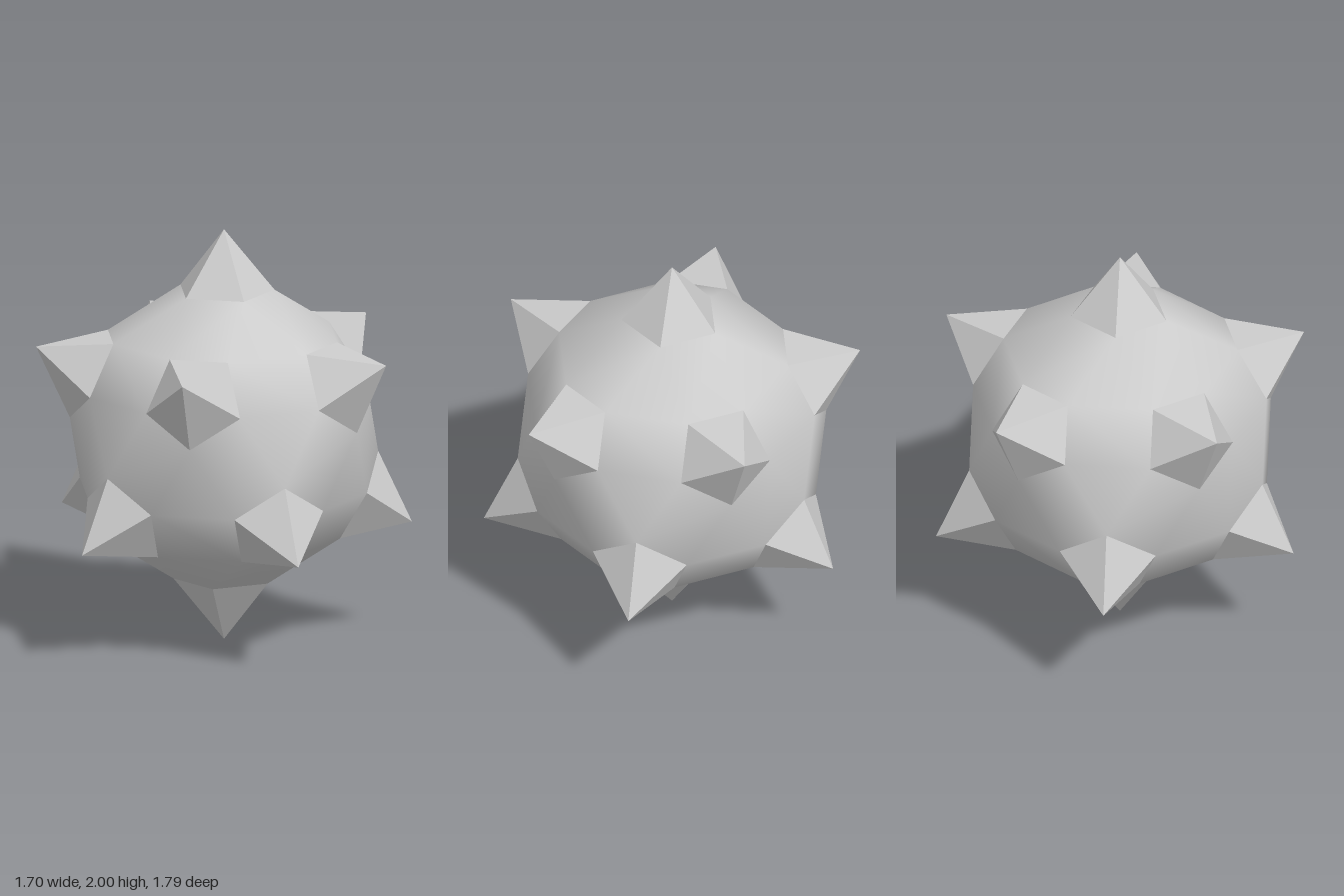
import * as THREE from 'three';

const BASE_DIST = 0.7;   // centre to spike base
const BASE_RADIUS = 0.24;
const TIP_DIST = 1;

// Twelve icosahedron directions: top, bottom, upper ring (2-6), lower ring (7-11)
function icosahedronAxes() {
  const ring = (y, offset) => Array.from({ length: 5 }, (_, k) => {
    const t = (k + offset) * Math.PI * 2 / 5;
    return new THREE.Vector3(Math.sin(t) * 2, y, Math.cos(t) * 2).normalize();
  });
  return [new THREE.Vector3(0, 1, 0), new THREE.Vector3(0, -1, 0), ...ring(1, 0), ...ring(-1, 0.5)];
}

function icosahedronFaces() {
  const faces = [];
  for (let k = 0; k < 5; k++) {
    const n = (k + 1) % 5;
    const u = 2 + k, un = 2 + n, l = 7 + k, ln = 7 + n;
    faces.push([0, u, un], [u, l, un], [un, l, ln], [1, ln, l]);
  }
  return faces;
}

export function createModel() {
  const group = new THREE.Group();
  const axes = icosahedronAxes();
  const faces = icosahedronFaces();

  // Direction across the spike base from its axis towards a face centre
  const towards = (v, face) => {
    const c = new THREE.Vector3();
    face.forEach((i) => c.add(axes[i]));
    return c.addScaledVector(axes[v], -c.dot(axes[v])).normalize();
  };

  // Body: a triangle per icosahedron face, a rectangle per edge, open under the spikes
  const positions = [], index = [], edges = new Map();
  faces.forEach((face, f) => {
    face.forEach((v, c) => {
      const p = axes[v].clone().multiplyScalar(BASE_DIST).addScaledVector(towards(v, face), BASE_RADIUS);
      positions.push(...p.toArray());
      const w = face[(c + 1) % 3];
      edges.set(`${v},${w}`, [f * 3 + c, f * 3 + (c + 1) % 3]);
    });
    index.push(f * 3, f * 3 + 1, f * 3 + 2);
  });
  edges.forEach(([a, b], key) => {
    const [v, w] = key.split(',').map(Number);
    if (v > w) return;
    const [otherB, otherA] = edges.get(`${w},${v}`);
    index.push(a, otherA, otherB, a, otherB, b);
  });
  const bodyGeometry = new THREE.BufferGeometry();
  bodyGeometry.setAttribute('position', new THREE.Float32BufferAttribute(positions, 3));
  bodyGeometry.setIndex(index);
  bodyGeometry.computeVertexNormals();
  const body = new THREE.Mesh(bodyGeometry, new THREE.MeshStandardMaterial({ color: 0xcccccc }));
  body.name = 'body';
  group.add(body);

  // Spikes: five-sided pyramids, each with a corner turned to a face centre
  const height = TIP_DIST - BASE_DIST;
  const spikeGeometry = new THREE.ConeGeometry(BASE_RADIUS, height, 5, 1, true).toNonIndexed();
  spikeGeometry.translate(0, height / 2, 0);
  spikeGeometry.computeVertexNormals();
  const spikeMaterial = new THREE.MeshStandardMaterial({ color: 0xcccccc, flatShading: true });
  axes.forEach((axis, v) => {
    const z = towards(v, faces.find((face) => face.includes(v)));
    const x = new THREE.Vector3().crossVectors(axis, z);
    const spike = new THREE.Mesh(spikeGeometry, spikeMaterial);
    spike.name = `spike${v + 1}`;
    spike.quaternion.setFromRotationMatrix(new THREE.Matrix4().makeBasis(x, axis, z));
    spike.position.copy(axis).multiplyScalar(BASE_DIST);
    group.add(spike);
  });

  // Lift so the lowest tip touches the ground
  group.children.forEach((part) => { part.position.y += TIP_DIST; });
  return group;
}
